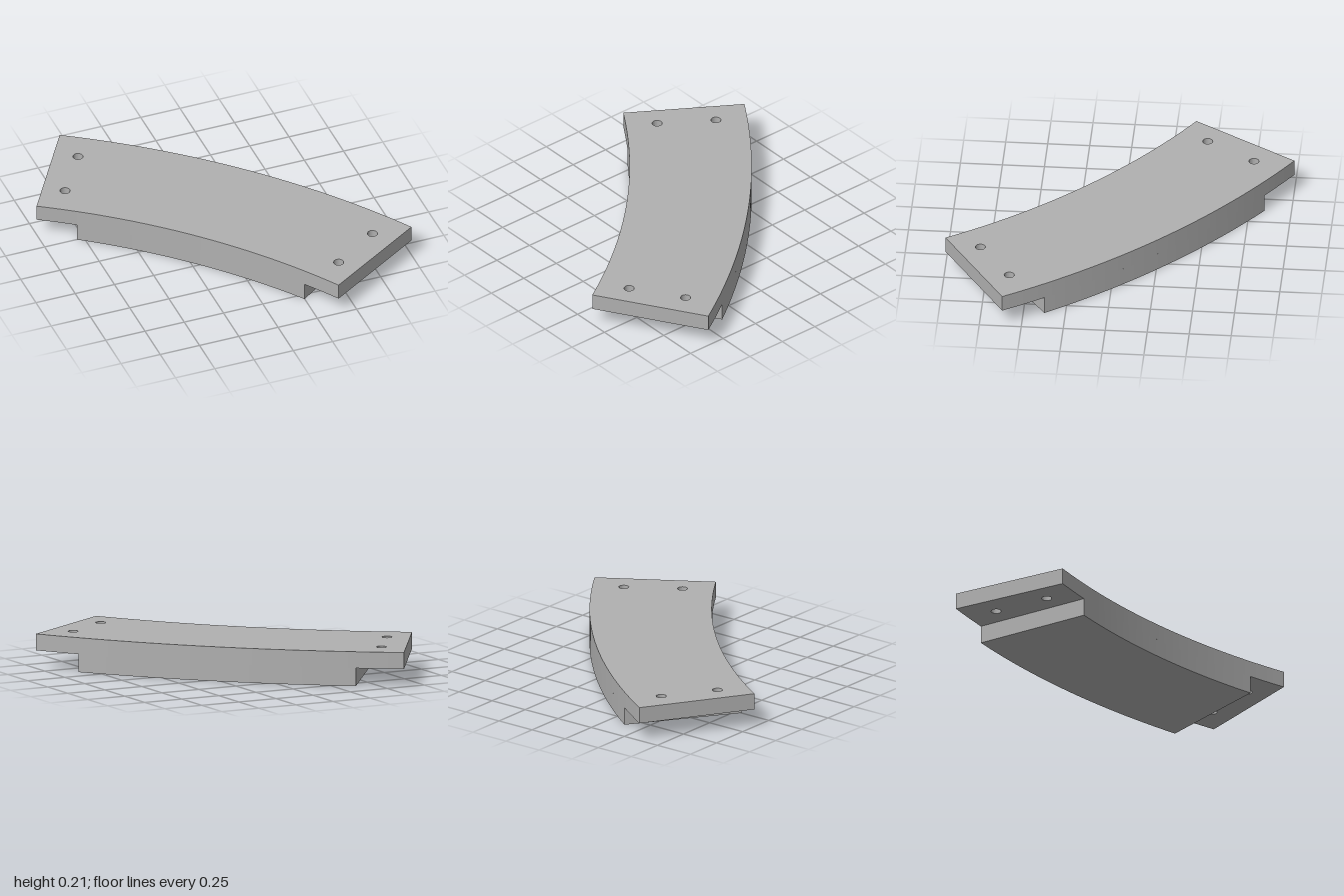
import * as THREE from 'three';

const C = 3.34;            // arc centre sits at x = -C, z = C
const INNER = 4.4, OUTER = 5.125;
const HALF = 180 / 14;     // half angle of the plate: one of 14 ring segments
const rad = THREE.MathUtils.degToRad;

// Ring sector, symmetric about the diagonal
function sector(halfAngle) {
  const a = rad(45 - halfAngle), b = rad(45 + halfAngle);
  const s = new THREE.Shape();
  s.absarc(-C, -C, OUTER, a, b, false);
  s.absarc(-C, -C, INNER, b, a, true);
  s.closePath();
  return s;
}

// Extrude a plan shape upwards from y0 to y1
function slab(name, shape, y0, y1, material) {
  const g = new THREE.ExtrudeGeometry(shape, { depth: y1 - y0, bevelEnabled: false, curveSegments: 24 });
  g.rotateX(-Math.PI / 2);
  g.translate(0, y0, 0);
  const mesh = new THREE.Mesh(g, material);
  mesh.name = name;
  return mesh;
}

export function createModel() {
  const group = new THREE.Group();
  group.name = 'curvedSegment';
  const grey = new THREE.MeshStandardMaterial({ color: 0xb0b0b0 });
  grey.name = 'grey';

  // Top plate with two bolt holes at each end
  const plate = sector(HALF);
  for (const side of [-1, 1]) {
    for (const r of [4.587, 4.937]) {
      const a = rad(45 + side * 11.15);
      const hole = new THREE.Path();
      hole.absarc(-C + r * Math.cos(a), -C + r * Math.sin(a), 0.03, 0, Math.PI * 2, true);
      plate.holes.push(hole);
    }
  }
  group.add(slab('topPlate', plate, 0.108, 0.207, grey));

  // Shorter block below, leaving a stepped lug at each end
  group.add(slab('lowerBlock', sector(HALF * 0.75), 0, 0.108, grey));
  return group;
}
